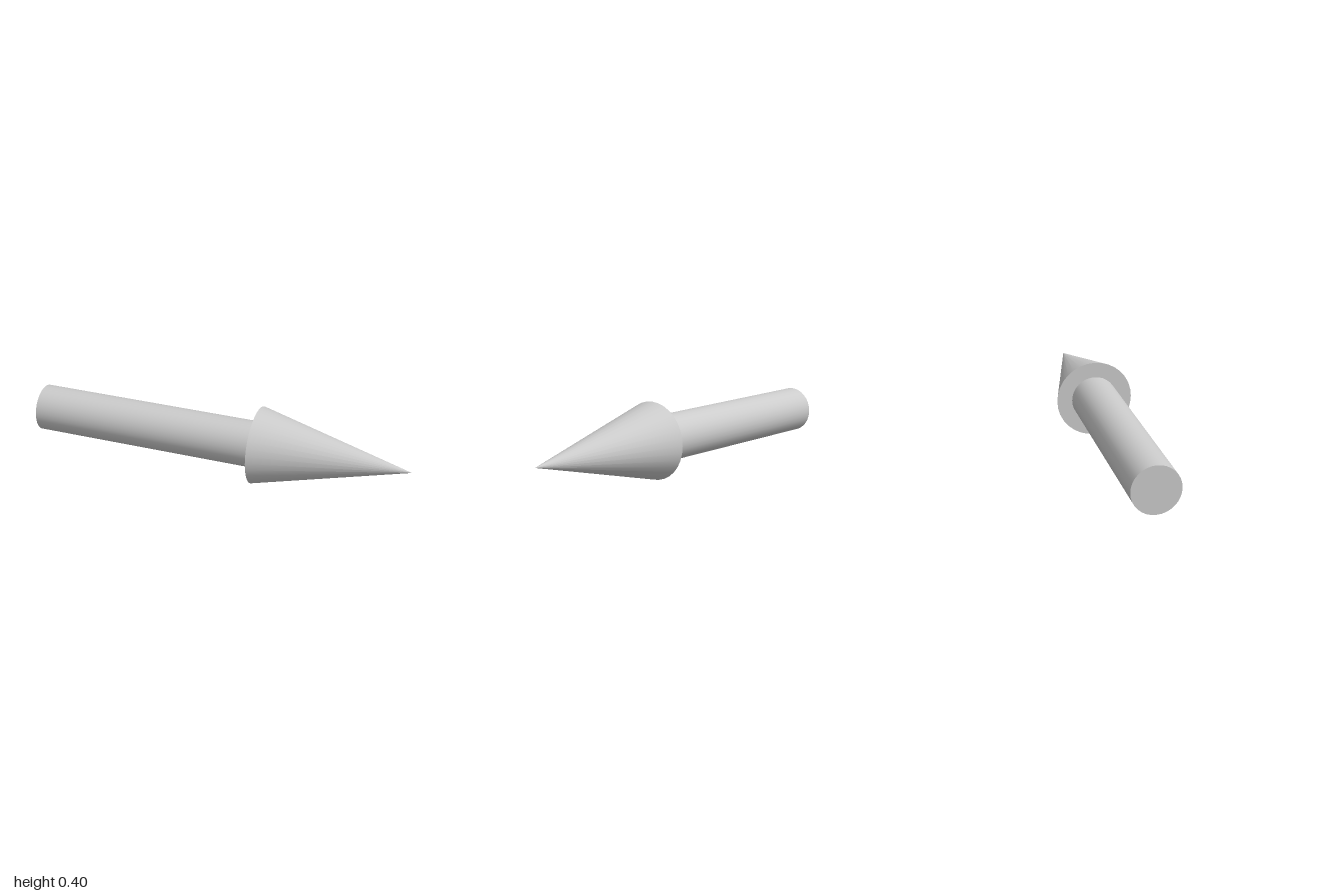
import * as THREE from 'three';

const SIDES = 32;
const AXIS_HEIGHT = 0.2;

export function createModel() {
  const group = new THREE.Group();
  group.name = 'arrow';
  const material = new THREE.MeshStandardMaterial({ color: 0xcccccc });

  // Lays an upright round part along +x, spanning x0 to x1
  function addPart(name, geometry, x0, x1) {
    geometry.rotateZ(-Math.PI / 2);
    const mesh = new THREE.Mesh(geometry, material);
    mesh.name = name;
    mesh.position.set((x0 + x1) / 2, AXIS_HEIGHT, 0);
    group.add(mesh);
  }

  // Round shaft, capped at the tail
  addPart('shaft', new THREE.CylinderGeometry(0.12, 0.12, 1.2, SIDES), -1, 0.2);

  // Pointed head with a flat back
  addPart('head', new THREE.ConeGeometry(0.2, 0.8, SIDES), 0.2, 1);

  return group;
}
